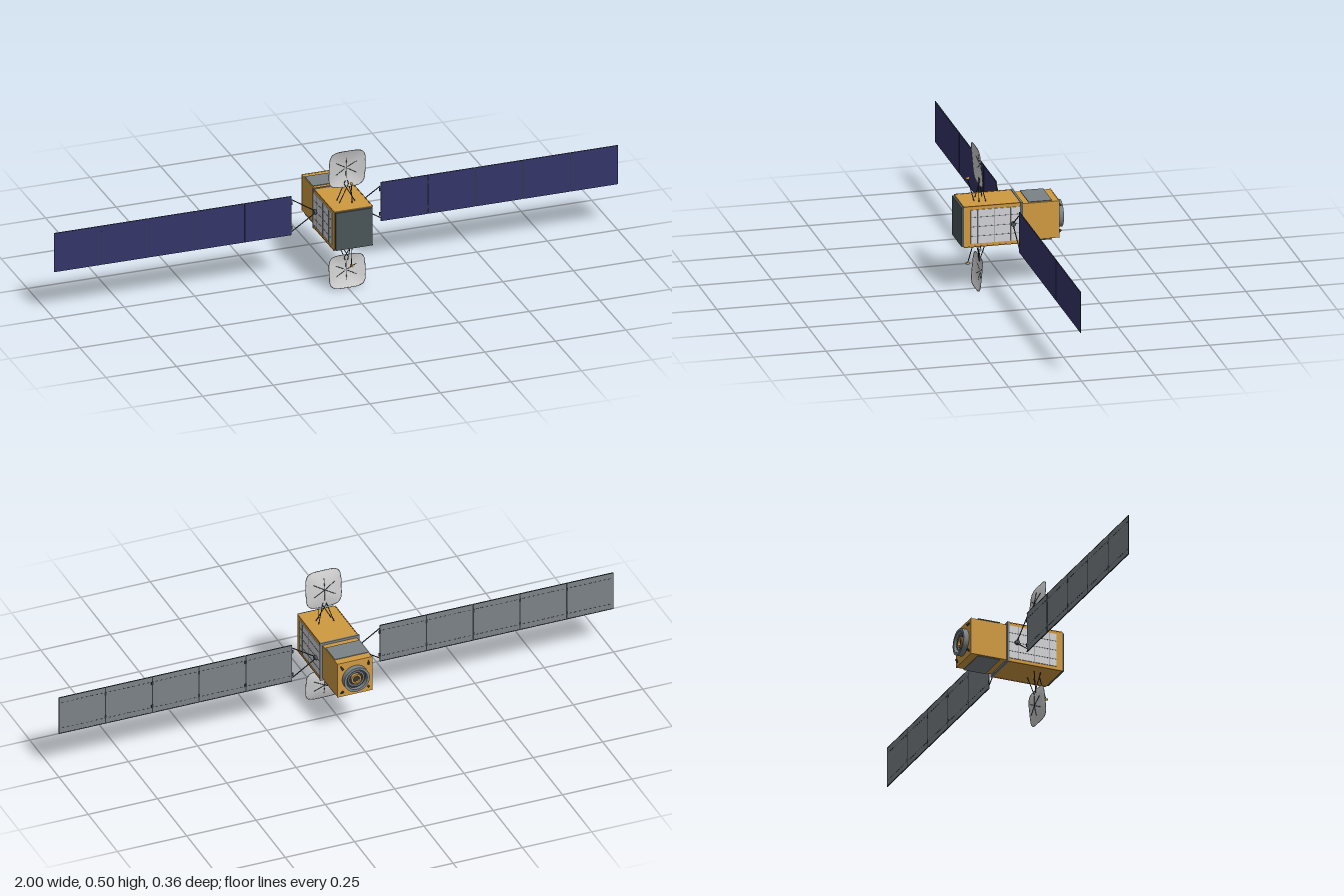
import * as THREE from 'three';

const mat = (name, color, side = THREE.FrontSide) => {
  const m = new THREE.MeshStandardMaterial({ color, side });
  m.name = name;
  return m;
};

export function createModel() {
  const gold = mat('gold foil', 0xcf9a41);
  const darkGold = mat('dark gold trim', 0xa87628);
  const navy = mat('navy solar cells', 0x343468);
  const grey = mat('panel grey', 0x7b8286);
  const dark = mat('dark metal', 0x30383c);
  const slate = mat('slate shield', 0x4a5558);
  const white = mat('radiator white', 0xd2d2d6);
  const dishMat = mat('dish white', 0xd0d0d0, THREE.DoubleSide);
  const CY = 0.24;   // height of the bus axis
  const WZ = 0.003;  // depth of the solar wings

  const root = new THREE.Group();
  root.name = 'satellite';
  const group = (name, parent = root) => {
    const g = new THREE.Group();
    g.name = name;
    parent.add(g);
    return g;
  };
  const add = (name, geo, m, p = [0, 0, 0], parent = root) => {
    const mesh = new THREE.Mesh(geo, m);
    mesh.name = name;
    mesh.position.set(...p);
    parent.add(mesh);
    return mesh;
  };
  const box = (name, size, p, m, parent) => add(name, new THREE.BoxGeometry(...size), m, p, parent);
  // Tapering rod between two points
  const rod = (name, a, b, r, m, parent, r2 = r) => {
    const A = new THREE.Vector3(...a), B = new THREE.Vector3(...b);
    const d = B.clone().sub(A);
    const mesh = add(name, new THREE.CylinderGeometry(r2, r, d.length(), 8), m, A.clone().add(B).multiplyScalar(0.5).toArray(), parent);
    mesh.quaternion.setFromUnitVectors(new THREE.Vector3(0, 1, 0), d.normalize());
    return mesh;
  };

  // Bus: main box, service section, collar and front shield
  const bus = group('bus');
  box('mainBody', [0.136, 0.142, 0.2], [0, CY, 0.07], gold, bus);
  box('collar', [0.142, 0.146, 0.007], [0, CY, -0.027], grey, bus);
  box('serviceSection', [0.124, 0.129, 0.13], [0, CY, -0.093], gold, bus);
  box('rearPlate', [0.126, 0.131, 0.003], [0, CY, -0.1575], gold, bus);
  box('frontShield', [0.13, 0.137, 0.008], [0, CY, 0.174], slate, bus);
  for (const sx of [-1, 1]) for (const sy of [-1, 1]) {
    box('edgeTrim', [0.003, 0.003, 0.2], [sx * 0.0675, CY + sy * 0.0705, 0.07], darkGold, bus);
  }

  // Thermal plates above and below the service section
  for (const s of [-1, 1]) {
    box('thermalPlate', [0.122, 0.002, 0.08], [0, CY + s * 0.068, -0.093], grey, bus);
    box('thermalPlateMount', [0.09, 0.004, 0.06], [0, CY + s * 0.066, -0.093], grey, bus);
  }

  // White side radiators with seams
  for (const s of [-1, 1]) {
    const side = group('sideRadiator');
    box('radiatorPanel', [0.003, 0.118, 0.171], [s * 0.069, CY, 0.062], white, side);
    for (const dy of [-0.033, 0, 0.033]) {
      box('radiatorSeam', [0.001, 0.002, 0.171], [s * 0.0708, CY + dy, 0.062], grey, side);
    }
    for (const z of [0.123, 0.066, 0.01]) {
      box('radiatorSeam', [0.001, 0.118, 0.0015], [s * 0.0708, CY, z], grey, side);
    }
  }

  // Main engine: open ring, recessed disc and nested rings
  const engine = group('mainEngine');
  engine.position.set(0, CY, -0.159);
  engine.rotation.x = -Math.PI / 2; // local +y points to the rear
  const lathe = (name, pts, m) =>
    add(name, new THREE.LatheGeometry(pts.map(p => new THREE.Vector2(...p)), 40), m, [0, 0, 0], engine);
  const ring = (r0, r1, h) => [
    [[r1, 0], [r1, h]], [[r1, h], [r0, h]], [[r0, h], [r0, 0]],
  ];
  for (const p of ring(0.037, 0.046, 0.019)) lathe('adapterRing', p, grey);
  for (const p of ring(0.024, 0.03, 0.012)) lathe('innerRing', p, grey);
  add('recess', new THREE.CylinderGeometry(0.038, 0.038, 0.004, 40), dark, [0, 0.003, 0], engine);
  for (const p of ring(0.012, 0.018, 0.015)) lathe('nozzleRing', p, gold);
  add('nozzleThroat', new THREE.CylinderGeometry(0.012, 0.012, 0.004, 24), dark, [0, 0.006, 0], engine);

  // Small corner thrusters
  for (const sx of [-1, 1]) for (const sy of [-1, 1]) {
    rod('thruster', [sx * 0.05, CY + sy * 0.053, -0.157], [sx * 0.046, CY + sy * 0.043, -0.167], 0.002, dark, root, 0.004);
  }

  // Solar wings
  const X0 = 0.157, PITCH = 0.1686, H = 0.142;
  for (const s of [-1, 1]) {
    const wing = group(s > 0 ? 'leftSolarWing' : 'rightSolarWing');
    const hub = add('wingHub', new THREE.CylinderGeometry(0.008, 0.008, 0.01, 16), slate, [s * 0.074, CY, WZ], wing);
    hub.rotation.z = Math.PI / 2;
    for (const sy of [-1, 1]) {
      rod('yokeArm', [s * 0.076, CY + sy * 0.005, WZ], [s * X0, CY + sy * 0.058, WZ], 0.0018, dark, wing);
    }
    for (let i = 0; i < 5; i++) {
      const x = s * (X0 + PITCH * (i + 0.5)), w = PITCH - 0.003;
      box('panelBack', [w, H, 0.002], [x, CY, WZ - 0.0006], grey, wing);
      box('solarCells', [w, H - 0.001, 0.001], [x, CY, WZ + 0.0009], navy, wing);
      for (const sy of [-1, 1]) {
        box('panelEdge', [w, 0.0025, 0.0026], [x, CY + sy * (H / 2 - 0.001), WZ - 0.0008], dark, wing);
        // Broken wiring line along the back
        for (let k = 0; k < 9; k++) {
          box('wiringDash', [0.009, 0.0018, 0.0006], [x + (k - 4) * 0.0175, CY + sy * 0.05, WZ - 0.0018], dark, wing);
        }
        box('hinge', [0.007, 0.012, 0.003], [s * (X0 + PITCH * i + 0.0005), CY + sy * 0.045, WZ - 0.001], dark, wing);
      }
      if (i > 0) box('panelSeam', [0.004, H, 0.001], [s * (X0 + PITCH * i), CY, WZ - 0.0015], dark, wing);
    }
    box('wingTip', [0.002, H, 0.003], [s * 0.999, CY, WZ - 0.0005], dark, wing);
  }

  // Dish antennas above and below the bus; outer is the far edge from the axis
  const antenna = (name, s, outer) => {
    const g = group(name);
    const inner = 0.124, half = (outer - inner) / 2, mid = (outer + inner) / 2;
    // Point on the dish at relative radius r and angle t
    const onDish = (r, t, lift = 0) => {
      const c = Math.cos(t), n = Math.sin(t);
      const k = r / Math.pow(Math.abs(c) ** 4.5 + Math.abs(n) ** 4.5, 1 / 4.5);
      return [0.064 * k * c, CY + s * (mid + half * k * n), 0.109 + 0.006 * k * n + 0.010 * (r * r - 1) + lift];
    };
    const geo = new THREE.RingGeometry(0.001, 1, 48, 8);
    const pos = geo.attributes.position;
    for (let i = 0; i < pos.count; i++) {
      const x = pos.getX(i), y = pos.getY(i);
      pos.setXYZ(i, ...onDish(Math.hypot(x, y), Math.atan2(y, x)));
    }
    geo.computeVertexNormals();
    add('dish', geo, dishMat, [0, 0, 0], g);
    const rim = [];
    for (let i = 0; i < 48; i++) rim.push(new THREE.Vector3(...onDish(1, i / 48 * Math.PI * 2)));
    add('dishRim', new THREE.TubeGeometry(new THREE.CatmullRomCurve3(rim, true), 96, 0.0009, 5, true), grey, [0, 0, 0], g);
    // Ribs behind the dish
    for (let i = 0; i < 6; i++) {
      const t = i / 6 * Math.PI * 2 + Math.PI / 6;
      rod('dishRib', onDish(0, t, -0.001), onDish(0.6, t, -0.001), 0.0011, dark, g);
    }
    // Support struts, crossing behind the dish
    for (const sx of [-1, 1]) {
      rod('frontStrut', [sx * 0.028, CY + s * 0.07, 0.109], [-sx * 0.008, CY + s * 0.135, 0.102], 0.0014, dark, g);
      rod('rearStrut', [sx * 0.028, CY + s * 0.07, 0.085], [sx * 0.004, CY + s * 0.146, 0.102], 0.0014, dark, g);
    }
    // Feed on its boom
    rod('feedBoom', [0.012, CY + s * 0.07, 0.122], [0.004, CY + s * 0.146, 0.141], 0.0016, dark, g);
    rod('feedHorn', [0.004, CY + s * 0.149, 0.148], [0.004, CY + s * 0.15, 0.136], 0.0035, gold, g, 0.005);
  };
  antenna('upperAntenna', 1, 0.26);
  antenna('lowerAntenna', -1, 0.24);

  return root;
}
